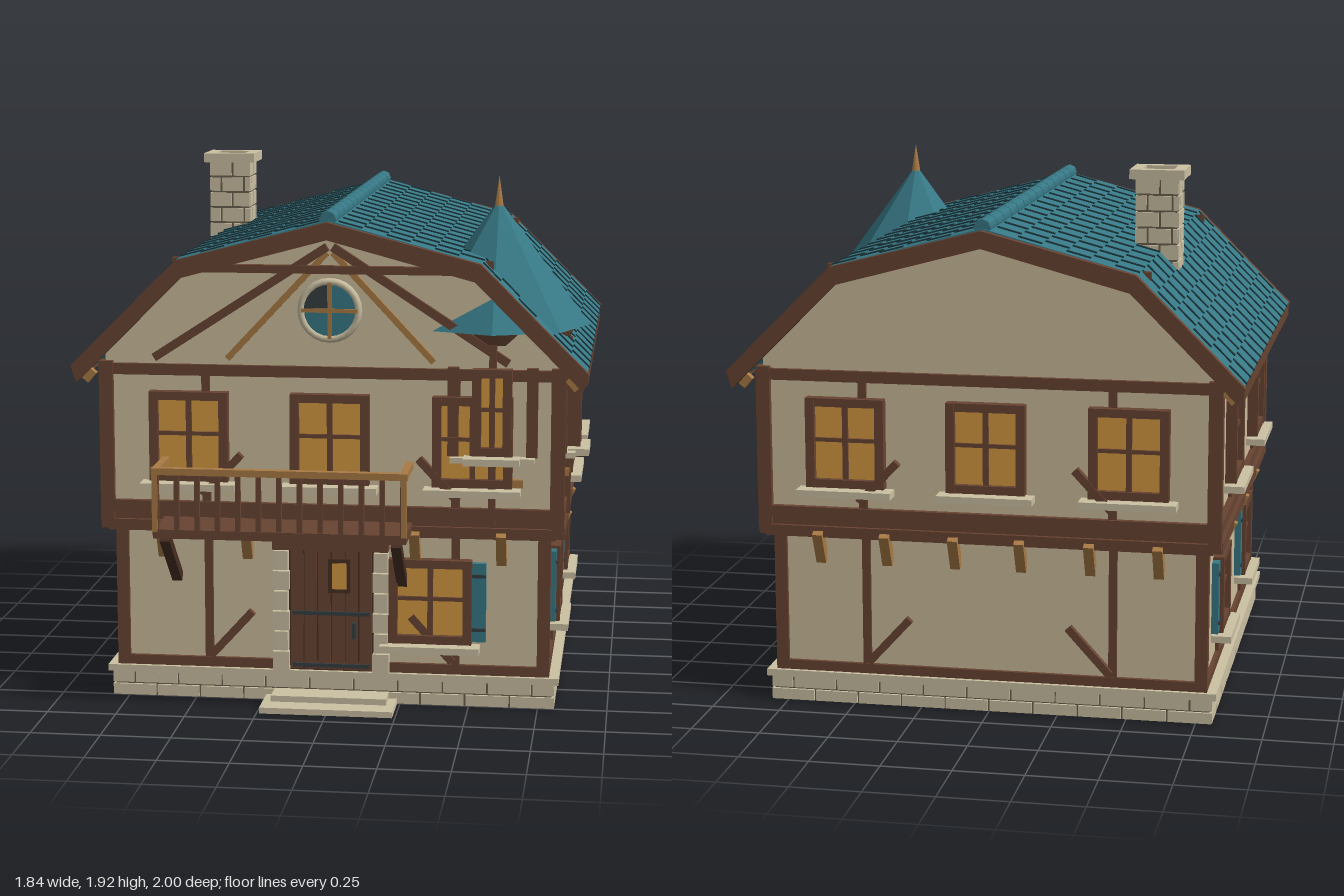
import * as THREE from 'three';
import { mergeGeometries } from 'three/addons/utils/BufferGeometryUtils.js';

const paint = (name, color) => Object.assign(new THREE.MeshStandardMaterial({ color }), { name });

export function createModel() {
  const plaster = paint('plaster', 0xcdbd9c), stone = paint('stone', 0xccc1a3), mortar = paint('mortar', 0x6a604e);
  const timber = paint('timber', 0x684432), lightWood = paint('light wood', 0xa97b45), darkWood = paint('dark wood', 0x472e22);
  const teal = paint('teal', 0x377986), darkTeal = paint('dark teal', 0x1d3b42), amber = paint('amber glass', 0xd79a42);
  const iron = paint('iron', 0x363e42);

  const house = new THREE.Group();
  house.name = 'house';
  house.position.z = -0.06;

  const add = (parent, name, geo, mat, x = 0, y = 0, z = 0) => {
    const m = new THREE.Mesh(geo, mat);
    m.name = name;
    m.position.set(x, y, z);
    parent.add(m);
    return m;
  };
  const box = (parent, name, mat, w, h, d, x, y, z) => add(parent, name, new THREE.BoxGeometry(w, h, d), mat, x, y, z);
  // Bar between two points of a facade
  const bar = (parent, name, mat, x0, y0, x1, y1, w, d, z) => {
    const m = box(parent, name, mat, Math.hypot(x1 - x0, y1 - y0), w, d, (x0 + x1) / 2, (y0 + y1) / 2, z);
    m.rotation.z = Math.atan2(y1 - y0, x1 - x0);
    return m;
  };
  const block = (w, h, d, x, y, z) => new THREE.BoxGeometry(w, h, d).translate(x, y, z);

  // Stone courses around a rectangular core
  const courses = (name, hx, hz, y0, rows, rowH, blockW, gap) => {
    const parts = [];
    for (let r = 0; r < rows; r++) {
      const y = y0 + (r + 0.5) * rowH;
      for (const [half, out, turn] of [[hx, hz, 0], [hz, hx, Math.PI / 2], [hx, hz, Math.PI], [hz, hx, -Math.PI / 2]]) {
        const edges = [-half];
        for (let e = -half + blockW * (r % 2 ? 0.5 : 1); e < half - 0.02; e += blockW) edges.push(e);
        edges.push(half);
        for (let i = 1; i < edges.length; i++) {
          const w = edges[i] - edges[i - 1];
          parts.push(block(w - gap, rowH - gap, 0.02, (edges[i] + edges[i - 1]) / 2, y, out - 0.01).rotateY(turn));
        }
      }
    }
    return add(house, name, mergeGeometries(parts), stone);
  };

  // Foundation
  box(house, 'foundationCore', mortar, 1.6, 0.1, 1.62, 0, 0.05, 0);
  courses('foundationStones', 0.81, 0.82, 0, 2, 0.047, 0.162, 0.007);
  box(house, 'foundationCap', stone, 1.65, 0.025, 1.66, 0, 0.106, 0);

  // Walls and gables
  box(house, 'lowerWalls', plaster, 1.55, 0.56, 1.6, 0, 0.39, 0);
  box(house, 'upperWalls', plaster, 1.63, 0.58, 1.66, 0, 0.95, 0);
  const extrudeZ = (pts, depth) => {
    const s = new THREE.Shape(pts.map(p => new THREE.Vector2(p[0], p[1])));
    return new THREE.ExtrudeGeometry(s, { depth, bevelEnabled: false }).translate(0, 0, -depth / 2);
  };
  add(house, 'gableWalls', extrudeZ([[-0.815, 1.2], [0.815, 1.2], [0.815, 1.3], [0.53, 1.57], [0, 1.72], [-0.53, 1.57], [-0.815, 1.3]], 1.66), plaster);

  // Corner posts
  for (const sx of [-1, 1]) for (const sz of [-1, 1]) {
    box(house, 'lowerPost', timber, 0.045, 0.54, 0.045, sx * 0.768, 0.385, sz * 0.793);
    box(house, 'upperPost', timber, 0.05, 0.6, 0.05, sx * 0.812, 0.95, sz * 0.828);
  }

  // Window with frame, glazing bars, sill and optional shutters
  const makeWindow = (parent, x, y0, y1, w, plane, shutters = []) => {
    const g = new THREE.Group();
    g.name = 'window';
    g.position.set(x, (y0 + y1) / 2, plane);
    parent.add(g);
    const h = y1 - y0;
    box(g, 'glass', amber, w - 0.03, h - 0.03, 0.009, 0, 0, 0.012);
    for (const s of [-1, 1]) {
      box(g, 'jamb', timber, 0.032, h, 0.045, s * (w / 2 - 0.016), 0, 0.018);
      box(g, 'rail', timber, w, 0.03, 0.042, 0, s * (h / 2 - 0.015), 0.018);
    }
    box(g, 'mullion', timber, 0.02, h - 0.04, 0.02, 0, 0, 0.018);
    box(g, 'crossbar', timber, w - 0.04, 0.014, 0.018, 0, 0.01, 0.018);
    box(g, 'sill', stone, w + 0.06, 0.025, 0.075, 0, -h / 2 - 0.017, 0.035);
    for (const s of shutters) {
      box(g, 'shutter', teal, 0.05, h - 0.02, 0.025, s * (w / 2 + 0.026), 0, 0.014);
      for (const k of [-1, 1]) box(g, 'hinge', iron, 0.05, 0.012, 0.006, s * (w / 2 + 0.026), k * h * 0.32, 0.029);
    }
  };

  // Four facades, each built facing +z and turned into place
  const facade = (name, turn, half, lo, up, brackets) => {
    const g = new THREE.Group();
    g.name = name;
    g.rotation.y = turn;
    house.add(g);
    box(g, 'soleBeam', timber, half * 2 - 0.08, 0.036, 0.03, 0, 0.136, lo);
    box(g, 'jettyBeam', timber, half * 2, 0.04, 0.05, 0, 0.652, up);
    box(g, 'jettyBand', timber, half * 2, 0.04, 0.02, 0, 0.69, up);
    box(g, 'floorBeam', timber, half * 2, 0.04, 0.045, 0, 0.722, up);
    box(g, 'topBeam', timber, half * 2, 0.04, 0.036, 0, 1.222, up);
    for (const x of brackets) {
      const b = box(g, 'jettyBracket', lightWood, 0.036, 0.13, 0.04, x, 0.595, lo + 0.03);
      b.rotation.x = 0.45;
    }
    return g;
  };
  const studs = (g, x, lo, up) => {
    for (const s of [-1, 1]) {
      box(g, 'lowerStud', timber, 0.03, 0.5, 0.025, s * x, 0.39, lo);
      box(g, 'upperStud', timber, 0.03, 0.5, 0.025, s * x, 0.97, up);
    }
  };
  const braces = (g, lo, up) => {
    for (const s of [-1, 1]) {
      bar(g, 'lowerBrace', timber, s * 0.44, 0.165, s * 0.29, 0.33, 0.028, 0.03, lo + 0.01);
      bar(g, 'upperBrace', timber, s * 0.46, 0.77, s * 0.32, 0.92, 0.028, 0.03, up + 0.03);
    }
  };
  const front = facade('frontFacade', 0, 0.81, 0.8, 0.83, [-0.615, -0.305, 0.305, 0.615]);
  const back = facade('backFacade', Math.PI, 0.81, 0.8, 0.83, [-0.615, -0.37, -0.12, 0.12, 0.37, 0.615]);
  for (const g of [front, back]) {
    studs(g, 0.45, 0.8, 0.83);
    braces(g, 0.8, 0.83);
    for (const x of [-0.51, 0, 0.51]) makeWindow(g, x, 0.82, 1.145, 0.285, 0.83);
  }
  for (const [name, s] of [['leftFacade', 1], ['rightFacade', -1]]) {
    const g = facade(name, s * Math.PI / 2, 0.83, 0.775, 0.815, [-0.425, 0, 0.425]);
    studs(g, 0.41, 0.775, 0.815);
    for (const x of [-0.4, 0.4]) {
      makeWindow(g, x, 0.82, 1.155, 0.285, 0.815);
      makeWindow(g, x, 0.255, 0.54, 0.26, 0.775, [-1, 1]);
    }
  }
  makeWindow(front, 0.36, 0.235, 0.545, 0.3, 0.8, [1]);

  // Door with stone surround
  const door = new THREE.Group();
  door.name = 'door';
  door.position.z = 0.8;
  front.add(door);
  box(door, 'doorBacking', darkWood, 0.31, 0.45, 0.02, 0, 0.345, 0.005);
  for (let i = 0; i < 6; i++) box(door, 'plank', timber, 0.045, 0.44, 0.02, -0.125 + i * 0.05, 0.345, 0.012);
  for (const y of [0.14, 0.335]) box(door, 'ironBand', iron, 0.28, 0.014, 0.008, 0, y, 0.026);
  box(door, 'peepFrame', darkWood, 0.08, 0.125, 0.014, 0.03, 0.475, 0.022);
  box(door, 'peepGlass', amber, 0.052, 0.095, 0.006, 0.03, 0.475, 0.03);
  box(door, 'handle', iron, 0.014, 0.06, 0.025, 0.085, 0.275, 0.03);
  for (const s of [-1, 1]) for (let i = 0; i < 6; i++)
    box(door, 'surroundStone', stone, i % 2 ? 0.05 : 0.06, 0.07, 0.05, s * 0.182, 0.155 + i * 0.075, 0.015);
  box(door, 'lintel', timber, 0.42, 0.036, 0.07, 0, 0.592, 0.025);
  box(house, 'lowerStep', stone, 0.48, 0.022, 0.19, 0, 0.011, 0.895);
  box(house, 'upperStep', stone, 0.42, 0.022, 0.1, 0, 0.033, 0.86);

  // Gable framing and round window
  bar(front, 'collarBeam', timber, -0.55, 1.59, 0.55, 1.59, 0.028, 0.04, 0.84);
  for (const s of [-1, 1]) {
    bar(front, 'gableBrace', timber, s * 0.635, 1.265, s * 0.01, 1.67, 0.03, 0.03, 0.835);
    bar(front, 'gableStrut', lightWood, s * 0.37, 1.265, s * 0.01, 1.65, 0.022, 0.024, 0.834);
  }
  add(front, 'roundWindowRing', new THREE.TorusGeometry(0.102, 0.014, 6, 24), stone, 0, 1.445, 0.845);
  add(front, 'roundGlass', new THREE.CircleGeometry(0.1, 24), teal, 0, 1.445, 0.851);
  add(front, 'roundGlassDarkPane', new THREE.CircleGeometry(0.095, 8, Math.PI / 2, Math.PI / 2), iron, 0, 1.445, 0.853);
  box(front, 'roundMullion', lightWood, 0.014, 0.2, 0.014, 0, 1.445, 0.853);
  box(front, 'roundCrossbar', lightWood, 0.2, 0.014, 0.014, 0, 1.445, 0.853);

  // Balcony
  const balcony = new THREE.Group();
  balcony.name = 'balcony';
  balcony.position.x = -0.155;
  house.add(balcony);
  box(balcony, 'balconyFloor', timber, 0.9, 0.032, 0.23, 0, 0.667, 0.943);
  box(balcony, 'frontRail', lightWood, 0.91, 0.024, 0.03, 0, 0.892, 1.045);
  for (let i = 0; i < 13; i++) box(balcony, 'baluster', timber, 0.018, 0.2, 0.018, -0.438 + i * 0.073, 0.78, 1.045);
  for (const s of [-1, 1]) {
    box(balcony, 'sideRail', lightWood, 0.026, 0.024, 0.22, s * 0.44, 0.892, 0.94);
    box(balcony, 'cornerPost', lightWood, 0.02, 0.22, 0.012, s * 0.442, 0.785, 1.054);
    const b = box(balcony, 'balconyBrace', darkWood, 0.036, 0.035, 0.3, s * 0.412, 0.55, 0.915);
    b.rotation.x = -0.72;
  }

  // Gambrel roof: slab, bargeboards, eaves and ridge
  const slab = (eaveX, eaveY, kneeY, topY, t) => [[-eaveX, eaveY], [-0.54, kneeY], [0, topY], [0.54, kneeY], [eaveX, eaveY],
    [eaveX - 0.02, eaveY - t], [0.52, kneeY - t], [0, topY - t], [-0.52, kneeY - t], [-eaveX + 0.02, eaveY - t]].reverse();
  add(house, 'roofSlab', extrudeZ(slab(0.915, 1.25, 1.625, 1.77, 0.05), 1.81), teal);
  for (const s of [-1, 1]) {
    add(house, 'bargeboard', extrudeZ(slab(0.92, 1.245, 1.625, 1.765, 0.062), 0.034), timber, 0, 0, s * 0.918);
    box(house, 'eaveBoard', timber, 0.03, 0.05, 1.82, s * 0.9, 1.224, 0);
    for (const z of [-0.8, 0.78]) box(house, 'purlinEnd', timber, 0.03, 0.03, 0.025, s * 0.56, 1.605, z);
    for (const z of [-0.87, 0.87]) bar(house, 'rafterFoot', lightWood, s * 0.88, 1.185, s * 0.85, 1.22, 0.03, 0.03, z);
  }
  for (let i = 0; i < 14; i++)
    add(house, 'ridgeCap', new THREE.CylinderGeometry(0.03, 0.03, 0.122, 8), teal, 0, 1.772, -0.839 + i * 0.129).rotation.x = Math.PI / 2;

  // Staggered shingle joints running down each slope
  const joints = [];
  for (const s of [-1, 1]) for (const [x0, y0, x1, y1] of [[0.03, 1.762, 0.54, 1.625], [0.54, 1.625, 0.915, 1.25]]) {
    const len = Math.hypot(x1 - x0, y1 - y0), angle = Math.atan2(y1 - y0, x1 - x0);
    for (let i = 0; i < 28; i++) for (let k = 0; k < 3; k++) {
      const t = (k + (i % 2 ? 0.27 : 0.77)) / 3;
      joints.push(block(len / 6, 0.008, 0.011, 0, 0, 0).rotateZ(s * angle)
        .translate(s * (x0 + (x1 - x0) * t), y0 + (y1 - y0) * t + 0.001, -0.86 + i * 0.0637));
    }
  }
  add(house, 'shingleJoints', mergeGeometries(joints), darkTeal);

  // Chimney
  box(house, 'chimneyCore', mortar, 0.145, 0.4, 0.145, -0.53, 1.69, -0.25);
  courses('chimneyStones', 0.08, 0.08, 1.47, 7, 0.06, 0.09, 0.008).position.set(-0.53, 0, -0.25);
  for (const s of [-1, 1]) {
    box(house, 'chimneyCap', stone, 0.2, 0.035, 0.042, -0.53, 1.905, -0.25 + s * 0.079);
    box(house, 'chimneyCap', stone, 0.042, 0.035, 0.116, -0.53 + s * 0.079, 1.905, -0.25);
  }
  box(house, 'flue', iron, 0.12, 0.02, 0.12, -0.53, 1.897, -0.25);

  // Corner turret: spire, posts and bay windows
  const turret = new THREE.Group();
  turret.name = 'turret';
  turret.position.set(0.58, 0, 0.588);
  house.add(turret);
  const spire = new THREE.CylinderGeometry(0.012, 0.332, 0.43, 8).toNonIndexed();
  spire.computeVertexNormals();
  add(turret, 'spireRoof', spire, teal, 0, 1.59, 0);
  add(turret, 'finial', new THREE.ConeGeometry(0.02, 0.125, 6), lightWood, 0, 1.845, 0);
  add(turret, 'spireCollar', new THREE.CylinderGeometry(0.28, 0.26, 0.045, 8), timber, 0, 1.35, 0);
  for (const turn of [0, Math.PI / 2]) {
    const bay = new THREE.Group();
    bay.name = 'bay';
    bay.rotation.y = turn;
    turret.add(bay);
    box(bay, 'bayPost', timber, 0.026, 0.65, 0.03, 0, 1.005, 0.255);
    makeWindow(bay, 0, 0.94, 1.25, 0.14, 0.265);
    for (const s of [-1, 1]) box(bay, 'sidePost', timber, 0.04, 0.32, 0.04, s * 0.14, 1.09, 0.24);
    box(bay, 'bayFloor', stone, 0.3, 0.02, 0.1, 0, 0.92, 0.24);
    box(bay, 'bayBracket', lightWood, 0.14, 0.028, 0.03, 0.04, 0.835, 0.25);
  }

  const model = new THREE.Group();
  model.name = 'timberHouse';
  model.add(house);
  return model;
}
